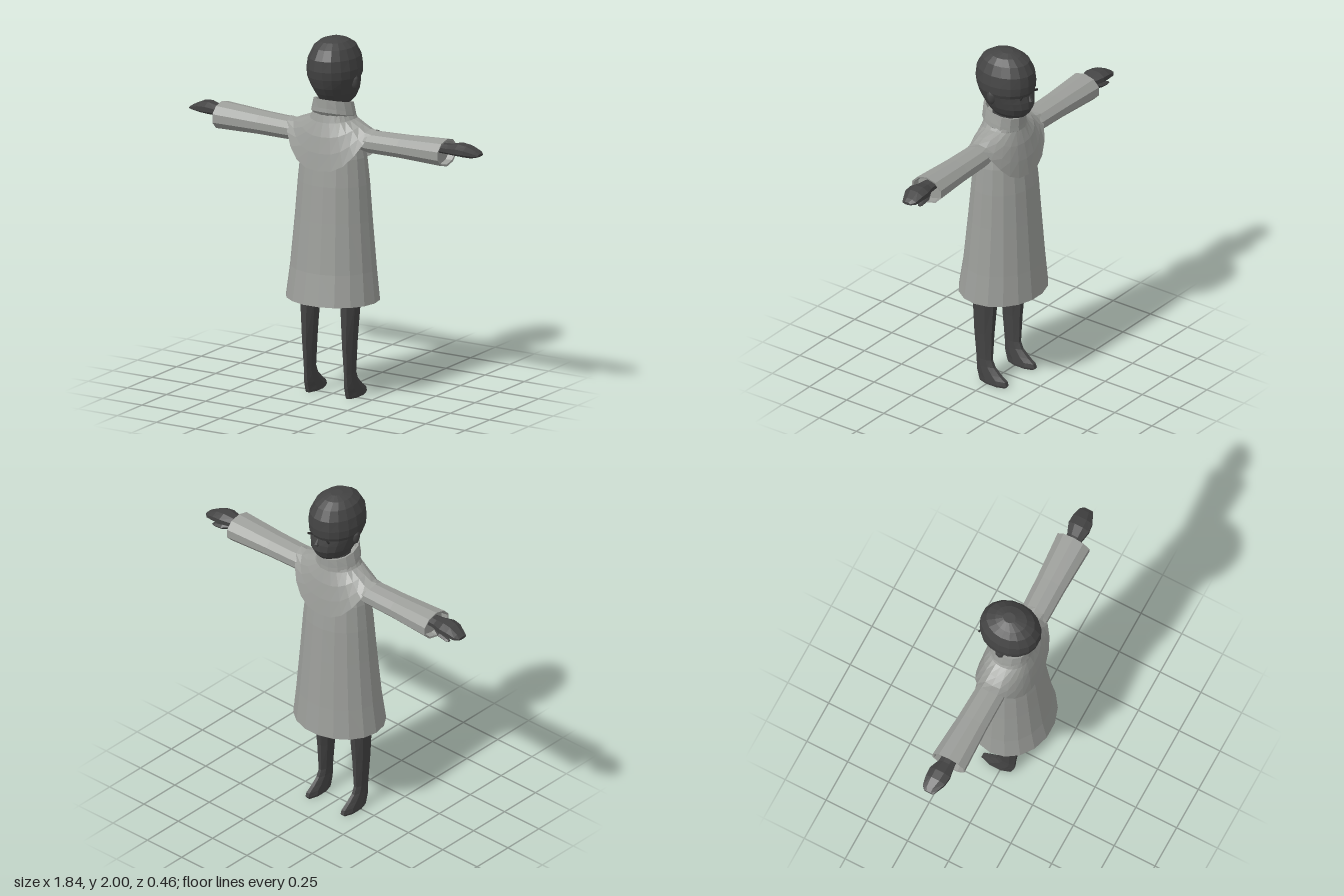
import * as THREE from 'three';

const coatMat = new THREE.MeshStandardMaterial({ color: 0x9c9e9a, side: THREE.DoubleSide });
coatMat.name = 'coat grey';
const skinMat = new THREE.MeshStandardMaterial({ color: 0x444444 });
skinMat.name = 'dark grey';
const eyeMat = new THREE.MeshStandardMaterial({ color: 0x2a2a2a });
eyeMat.name = 'eye black';

const spow = (v, p) => Math.sign(v) * Math.abs(v) ** p;

// One closed ring of n points; place(c, s) maps cosine and sine to a position.
function ring(n, place, phase = 0) {
  return Array.from({ length: n }, (_, i) => {
    const a = ((i + phase) / n) * Math.PI * 2;
    return new THREE.Vector3(...place(Math.cos(a), Math.sin(a)));
  });
}

// Skin over successive rings with flat facets, turned so the faces look outward.
function loft(name, rings, material, capped = true) {
  const tris = [], n = rings[0].length;
  for (let k = 0; k + 1 < rings.length; k++) {
    for (let i = 0; i < n; i++) {
      const j = (i + 1) % n, p = rings[k], q = rings[k + 1];
      tris.push([p[i], q[i], q[j]], [p[i], q[j], p[j]]);
    }
  }
  const mid = pts => pts.reduce((s, p) => s.add(p), new THREE.Vector3()).divideScalar(pts.length);
  if (capped) {
    const first = rings[0], last = rings[rings.length - 1];
    const c0 = mid(first), c1 = mid(last);
    for (let i = 0; i < n; i++) {
      const j = (i + 1) % n;
      tris.push([c0, first[i], first[j]], [c1, last[j], last[i]]);
    }
  }
  const centre = mid(rings.flat());
  let volume = 0;
  for (const t of tris) {
    const [a, b, c] = t.map(p => p.clone().sub(centre));
    volume += a.dot(b.cross(c));
  }
  if (volume < 0) tris.forEach(t => t.reverse());
  const geometry = new THREE.BufferGeometry().setFromPoints(tris.flat());
  geometry.computeVertexNormals();
  const mesh = new THREE.Mesh(geometry, material);
  mesh.name = name;
  return mesh;
}

// Upright sections: [y, half width, z of back, z of face side], centred on cx.
const upright = (rows, n, cx = 0, phase = 0) => rows.map(([y, rx, zb, zf]) =>
  ring(n, (c, s) => [cx + rx * c, y, (zb + zf) / 2 + ((zb - zf) / 2) * s], phase));

// Sections across an arm: [x, y low, y high, z min, z max].
const sideways = (rows, n, side, phase = 0) => rows.map(([x, y0, y1, z0, z1]) =>
  ring(n, (c, s) => [side * x, (y0 + y1) / 2 + ((y1 - y0) / 2) * s, (z0 + z1) / 2 + ((z1 - z0) / 2) * c], phase));

export function createModel() {
  const model = new THREE.Group();
  model.name = 'coatedFigure';

  // Head, jaw and neck
  model.add(loft('head', upright([
    [2.0, 0.03, 0.01, -0.06], [1.985, 0.075, 0.075, -0.105], [1.955, 0.11, 0.12, -0.155],
    [1.9, 0.135, 0.152, -0.186], [1.84, 0.145, 0.157, -0.192], [1.795, 0.143, 0.15, -0.188],
    [1.775, 0.136, 0.143, -0.178], [1.74, 0.125, 0.13, -0.186], [1.7, 0.112, 0.105, -0.188],
    [1.66, 0.093, 0.075, -0.168], [1.635, 0.07, 0.06, -0.145], [1.645, 0.065, 0.058, -0.075],
    [1.56, 0.065, 0.058, -0.075],
  ], 18), skinMat));
  model.add(loft('nose', upright([
    [1.77, 0.008, -0.15, -0.18], [1.742, 0.016, -0.15, -0.2], [1.73, 0.014, -0.15, -0.19],
  ], 6), skinMat));

  // Coat body
  model.add(loft('coat', upright([
    [0.545, 0.267, 0.232, -0.232], [0.72, 0.247, 0.205, -0.216], [1.0, 0.222, 0.178, -0.195],
    [1.2, 0.207, 0.16, -0.18], [1.35, 0.192, 0.142, -0.162], [1.45, 0.172, 0.115, -0.13],
    [1.53, 0.125, 0.09, -0.1], [1.58, 0.09, 0.07, -0.08],
  ], 18), coatMat));

  // Shoulder cape: hem hangs low front and back and lifts over the arms
  model.add(loft('cape', [
    [0.105, 0.1, 1.6, 1.6], [0.13, 0.112, 1.56, 1.545], [0.19, 0.135, 1.537, 1.47],
    [0.235, 0.152, 1.518, 1.38], [0.275, 0.165, 1.522, 1.285],
  ].map(([rx, rz, ySide, yMid]) => ring(24, (c, s) => [
    rx * spow(c, 0.9), yMid + (ySide - yMid) * Math.abs(c) ** 2.5, -0.007 + rz * spow(s, 0.9),
  ])), coatMat, false));

  // Tilted standing collar: [half width, half depth, y, tilt]
  model.add(loft('collar', [
    [0.1, 0.098, 1.555, 0.22], [0.125, 0.12, 1.577, 0.24], [0.12, 0.118, 1.6, 0.24],
    [0.107, 0.118, 1.65, 0.24], [0.095, 0.106, 1.648, 0.24], [0.088, 0.098, 1.6, 0.24],
  ].map(([rx, rz, y, tilt]) => ring(14, (c, s) => [rx * c, y + tilt * rz * s, -0.008 + rz * s])), coatMat));

  for (const side of [1, -1]) {
    const label = side > 0 ? 'left' : 'right';

    // Flared sleeve with a hollow cuff
    model.add(loft(label + 'Sleeve', sideways([
      [0.14, 1.41, 1.5, -0.07, 0.06], [0.25, 1.388, 1.512, -0.09, 0.076],
      [0.45, 1.388, 1.518, -0.098, 0.077], [0.72, 1.38, 1.533, -0.117, 0.087],
      [0.718, 1.39, 1.523, -0.107, 0.077], [0.68, 1.39, 1.52, -0.1, 0.072],
    ], 10, side, 0.5), coatMat));

    // Mitten hand and thumb
    model.add(loft(label + 'Hand', sideways([
      [0.66, 1.45, 1.505, -0.06, 0.02], [0.74, 1.45, 1.508, -0.068, 0.03],
      [0.8, 1.448, 1.521, -0.092, 0.042], [0.85, 1.45, 1.514, -0.09, 0.036],
      [0.9, 1.452, 1.49, -0.08, 0.012], [0.922, 1.46, 1.475, -0.06, 0.0],
    ], 8, side, 0.5), skinMat));
    model.add(loft(label + 'Thumb', sideways([
      [0.74, 1.447, 1.475, -0.06, -0.02], [0.79, 1.432, 1.465, -0.085, -0.035],
      [0.84, 1.43, 1.452, -0.085, -0.05], [0.86, 1.434, 1.444, -0.078, -0.06],
    ], 6, side), skinMat));

    // Tapered leg running into the foot
    model.add(loft(label + 'Leg', upright([
      [0.6, 0.054, 0.106, -0.055], [0.53, 0.051, 0.105, -0.05], [0.3, 0.034, 0.096, -0.03],
      [0.14, 0.023, 0.083, -0.022], [0.1, 0.024, 0.082, -0.04], [0.06, 0.027, 0.08, -0.085],
      [0.035, 0.029, 0.073, -0.122], [0.012, 0.031, 0.066, -0.13], [0, 0.029, 0.06, -0.12],
    ], 8, side * 0.128, 0.5), skinMat));

    // Ear and slit eye
    const ear = new THREE.Mesh(new THREE.SphereGeometry(1, 6, 5), skinMat);
    ear.scale.set(0.018, 0.045, 0.026);
    ear.position.set(side * 0.132, 1.768, -0.015);
    ear.name = label + 'Ear';
    model.add(ear);
    const eye = new THREE.Mesh(new THREE.BoxGeometry(0.046, 0.01, 0.008), eyeMat);
    eye.position.set(side * 0.056, 1.776, -0.163);
    eye.rotation.y = side * 0.45;
    eye.name = label + 'Eye';
    model.add(eye);
  }
  return model;
}
